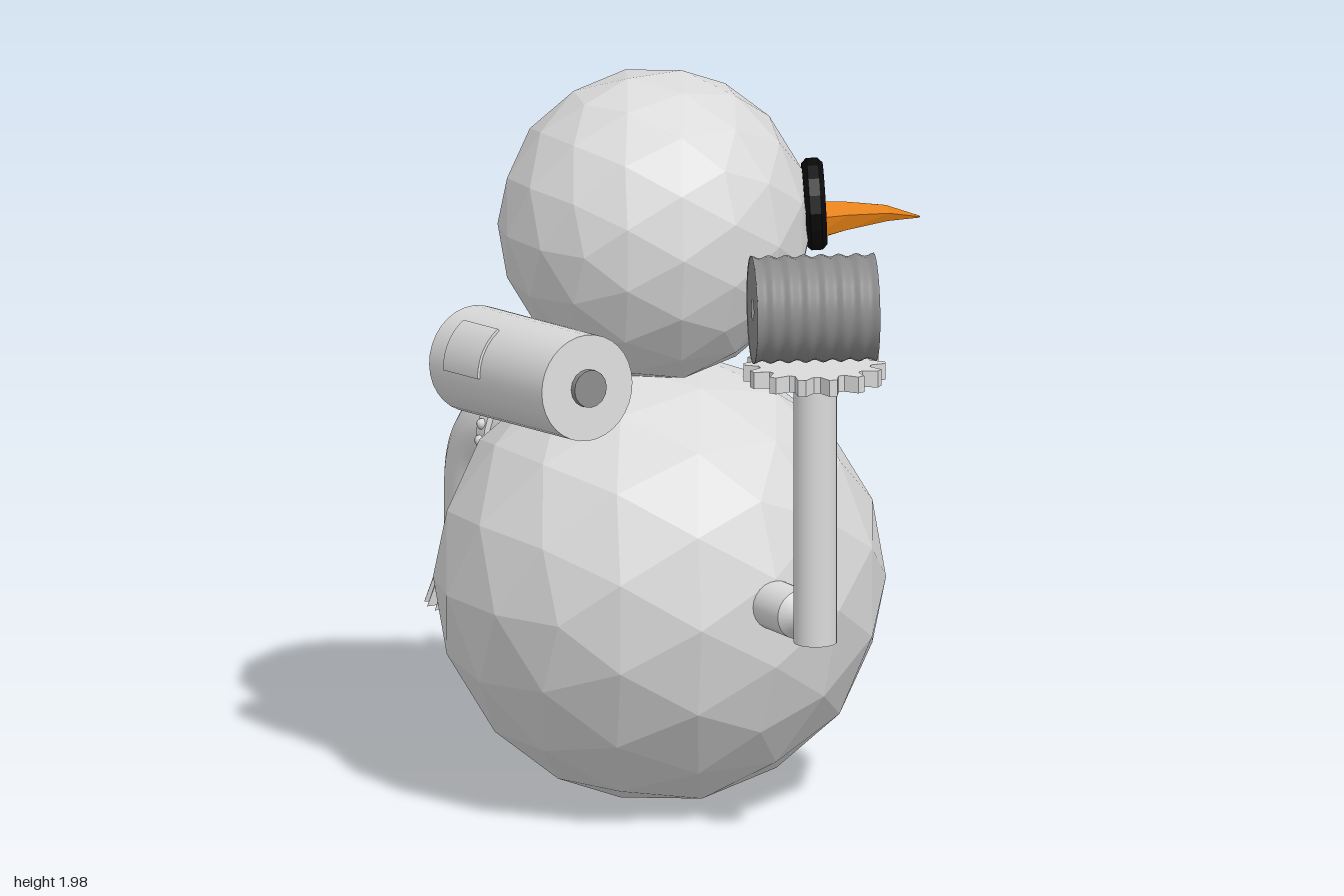
import * as THREE from 'three';

const V = (x, y, z) => new THREE.Vector3(x, y, z);
const UP = V(0, 1, 0), FWD = V(0, 0, 1);
const mat = (name, color, extra = {}) => new THREE.MeshStandardMaterial({ name, color, ...extra });

export function createModel() {
  const root = new THREE.Group();
  const snow = mat('paleGrey', 0xdadada);
  const snowFlat = mat('paleGreyFaceted', 0xdadada, { flatShading: true, side: THREE.DoubleSide });
  const tin = mat('darkGrey', 0x8a8a8a, { side: THREE.DoubleSide });
  const coal = mat('coalBlack', 0x0a0a0a, { flatShading: true });
  const orange = mat('carrotOrange', 0xe58012, { flatShading: true });

  const add = (name, geo, material, pos = V(0, 0, 0), parent = root) => {
    const m = new THREE.Mesh(geo, material);
    m.name = name;
    m.position.copy(pos);
    parent.add(m);
    return m;
  };
  const aim = (obj, from, dir) => obj.quaternion.setFromUnitVectors(from, dir.clone().normalize());
  // cylinder between two points
  const rod = (name, a, b, r0, r1, material, sides = 24) => {
    const d = b.clone().sub(a);
    const m = add(name, new THREE.CylinderGeometry(r1, r0, d.length(), sides), material, a.clone().add(b).multiplyScalar(0.5));
    aim(m, UP, d);
    return m;
  };

  // snowballs
  const headC = V(-0.12, 1.575, 0);
  add('body', new THREE.IcosahedronGeometry(0.605, 2), snowFlat, V(-0.105, 0.6, 0));
  add('head', new THREE.IcosahedronGeometry(0.42, 2), snowFlat, headC);

  // carrot nose from drooping hexagonal sections: x, y, radius
  const rings = [[0.24, 1.512, 0.064], [0.33, 1.515, 0.062], [0.46, 1.517, 0.045], [0.6, 1.508, 0.025], [0.71, 1.483, 0.003]];
  const pos = [], idx = [], sides = 6;
  rings.forEach(([x, y, r], i) => {
    for (let j = 0; j < sides; j++) {
      const a = (j / sides) * Math.PI * 2 + i * 0.12;
      pos.push(x, y + r * Math.cos(a), r * Math.sin(a));
      if (i < rings.length - 1) {
        const p = i * sides + j, q = i * sides + (j + 1) % sides;
        idx.push(p, p + sides, q, q, p + sides, q + sides);
      }
    }
  });
  const noseGeo = new THREE.BufferGeometry();
  noseGeo.setAttribute('position', new THREE.Float32BufferAttribute(pos, 3));
  noseGeo.setIndex(idx);
  noseGeo.computeVertexNormals();
  orange.side = THREE.DoubleSide;
  add('nose', noseGeo, orange);

  // button eye with two holes
  const button = new THREE.Shape();
  button.absarc(0, 0, 0.112, 0, Math.PI * 2);
  for (const y of [-0.052, 0.052]) {
    const hole = new THREE.Path();
    for (let i = 0; i < 5; i++) {
      const a = -(i / 5) * Math.PI * 2 + 0.4;
      hole[i ? 'lineTo' : 'moveTo'](0.037 * Math.cos(a), y + 0.037 * Math.sin(a));
    }
    hole.closePath();
    button.holes.push(hole);
  }
  const eyeGeo = new THREE.ExtrudeGeometry(button, { depth: 0.03, bevelSize: 0.013, bevelThickness: 0.013, bevelSegments: 1, curveSegments: 8 });
  eyeGeo.translate(0, 0, -0.015);
  aim(add('buttonEye', eyeGeo, coal, V(0.262, 1.62, 0.192)), FWD, V(0.87, 0.05, 0.49));

  // shallow domed eye plate with two screws
  const plate = new THREE.Group();
  plate.name = 'eyePlate';
  plate.position.set(0.252, 1.622, -0.19);
  aim(plate, FWD, V(0.89, 0.06, -0.45));
  root.add(plate);
  add('plateDome', new THREE.SphereGeometry(0.163, 32, 16), snow, V(0, 0, 0), plate).scale.z = 0.2;
  for (const s of [-1, 1]) {
    const screw = add('plateScrew', new THREE.CylinderGeometry(0.026, 0.028, 0.03, 14), snow, V(s * 0.125, s * -0.01 + 0.005, 0.022), plate);
    screw.rotation.x = Math.PI / 2;
  }

  // coal mouth
  for (const [z, y] of [[0.245, 1.418], [0.145, 1.333], [0, 1.305], [-0.14, 1.333], [-0.24, 1.415]]) {
    const dy = y - headC.y;
    const p = V(Math.sqrt(0.425 ** 2 - z * z - dy * dy), dy, z);
    const lump = add('mouthCoal', new THREE.SphereGeometry(0.048, 8, 6), coal, p.clone().add(headC));
    aim(lump, FWD, p);
    lump.scale.set(1.06, 1, 0.6);
  }

  // pipe arm holding a can
  rod('armStub', V(-0.105, 0.65, 0.5), V(-0.105, 0.65, 0.71), 0.067, 0.067, snow);
  rod('armStubTip', V(-0.105, 0.65, 0.71), V(-0.105, 0.65, 0.787), 0.067, 0.004, snow);
  rod('armPipe', V(-0.105, 0.592, 0.793), V(-0.105, 1.34, 0.793), 0.058, 0.058, snow);
  const gear = new THREE.Shape();
  const teeth = 14;
  for (let i = 0; i < teeth * 4; i++) {
    const a = (i / (teeth * 4)) * Math.PI * 2;
    const r = i % 4 < 2 ? 0.19 : 0.152;
    gear[i ? 'lineTo' : 'moveTo'](r * Math.cos(a), r * Math.sin(a));
  }
  gear.closePath();
  add('gear', new THREE.ExtrudeGeometry(gear, { depth: 0.045, bevelEnabled: false }), snow, V(-0.105, 1.36, 0.788)).rotation.x = Math.PI / 2;

  const can = new THREE.Group();
  can.name = 'can';
  can.position.set(-0.105, 1.51, 0.783);
  aim(can, UP, V(0.9, 0, 0.435));
  root.add(can);
  const wall = [];
  for (let i = 0; i <= 42; i++) {
    const t = i / 42;
    wall.push(new THREE.Vector2(0.141 + 0.004 * Math.cos(t * Math.PI * 14), -0.165 + 0.33 * t));
  }
  add('canWall', new THREE.LatheGeometry(wall, 28), tin, V(0, 0, 0), can);
  add('canBase', new THREE.RingGeometry(0.028, 0.145, 28), tin, V(0, -0.163, 0), can).rotation.x = Math.PI / 2;

  // bent pipe arm
  const ax = -0.12, bend = new THREE.CurvePath();
  bend.add(new THREE.LineCurve3(V(ax, 0.86, -0.35), V(ax, 0.86, -0.635)));
  bend.add(new THREE.CubicBezierCurve3(V(ax, 0.86, -0.635), V(ax, 0.86, -0.74), V(ax, 0.8, -0.805), V(ax, 0.68, -0.805)));
  bend.add(new THREE.LineCurve3(V(ax, 0.68, -0.805), V(ax, 0.505, -0.805)));
  add('bentArm', new THREE.TubeGeometry(bend, 48, 0.141, 28, false), snow);
  add('bentArmEnd', new THREE.CircleGeometry(0.141, 28), snow, V(ax, 0.507, -0.805)).rotation.x = Math.PI / 2;

  // riveted collar
  rod('armCollar', V(ax, 0.86, -0.615), V(ax, 0.86, -0.655), 0.158, 0.158, snow, 32);
  for (let i = 0; i < 22; i++) {
    const a = (i / 22) * Math.PI * 2;
    add('collarRivet', new THREE.SphereGeometry(0.015, 8, 6), snow, V(ax + 0.158 * Math.cos(a), 0.86 + 0.158 * Math.sin(a), -0.635));
  }

  // capped port on the elbow
  const portDir = V(0, 0.86, -0.51), port = V(ax + 0.005, 0.965, -0.832);
  rod('elbowPort', port.clone().addScaledVector(portDir, -0.08), port.clone().addScaledVector(portDir, 0.01), 0.07, 0.07, snow, 12);
  aim(add('elbowPortCap', new THREE.CircleGeometry(0.069, 12), tin, port.clone().addScaledVector(portDir, 0.013)), FWD, portDir);

  // pleated cuff
  const cuff = new THREE.CylinderGeometry(0.138, 0.192, 0.155, 48, 1, true);
  const cp = cuff.attributes.position;
  for (let i = 49; i < cp.count; i++) {
    if ((i - 49) % 2) cp.setXYZ(i, cp.getX(i) * 0.87, cp.getY(i) + 0.008, cp.getZ(i) * 0.87);
  }
  add('cuff', cuff, snowFlat, V(ax, 0.435, -0.808));

  // tank on the back with end plugs and a curved label plate
  const t0 = V(-0.512, 1.195, -0.282), t1 = V(-0.5, 1.232, 0.272);
  const along = t1.clone().sub(t0).normalize();
  rod('tank', t0, t1, 0.144, 0.144, snow, 32);
  for (const [end, s] of [[t0, -1], [t1, 1]]) {
    rod('tankPlug', end, end.clone().addScaledVector(along, s * 0.018), 0.051, 0.051, tin, 16);
  }
  const label = new THREE.Group();
  label.name = 'tankLabel';
  label.position.copy(t0).addScaledVector(along, 0.165);
  aim(label, FWD, along);
  root.add(label);
  // wedge-shaped arc strip on the outer, upper side
  const strip = new THREE.Shape();
  strip.absarc(0, 0, 0.151, Math.PI * 0.68, Math.PI * 1.0, false);
  strip.absarc(0, 0, 0.142, Math.PI * 1.0, Math.PI * 0.68, true);
  add('labelPlate', new THREE.ExtrudeGeometry(strip, { depth: 0.17, bevelEnabled: false }), snow, V(0, 0, -0.085), label);

  return root;
}
